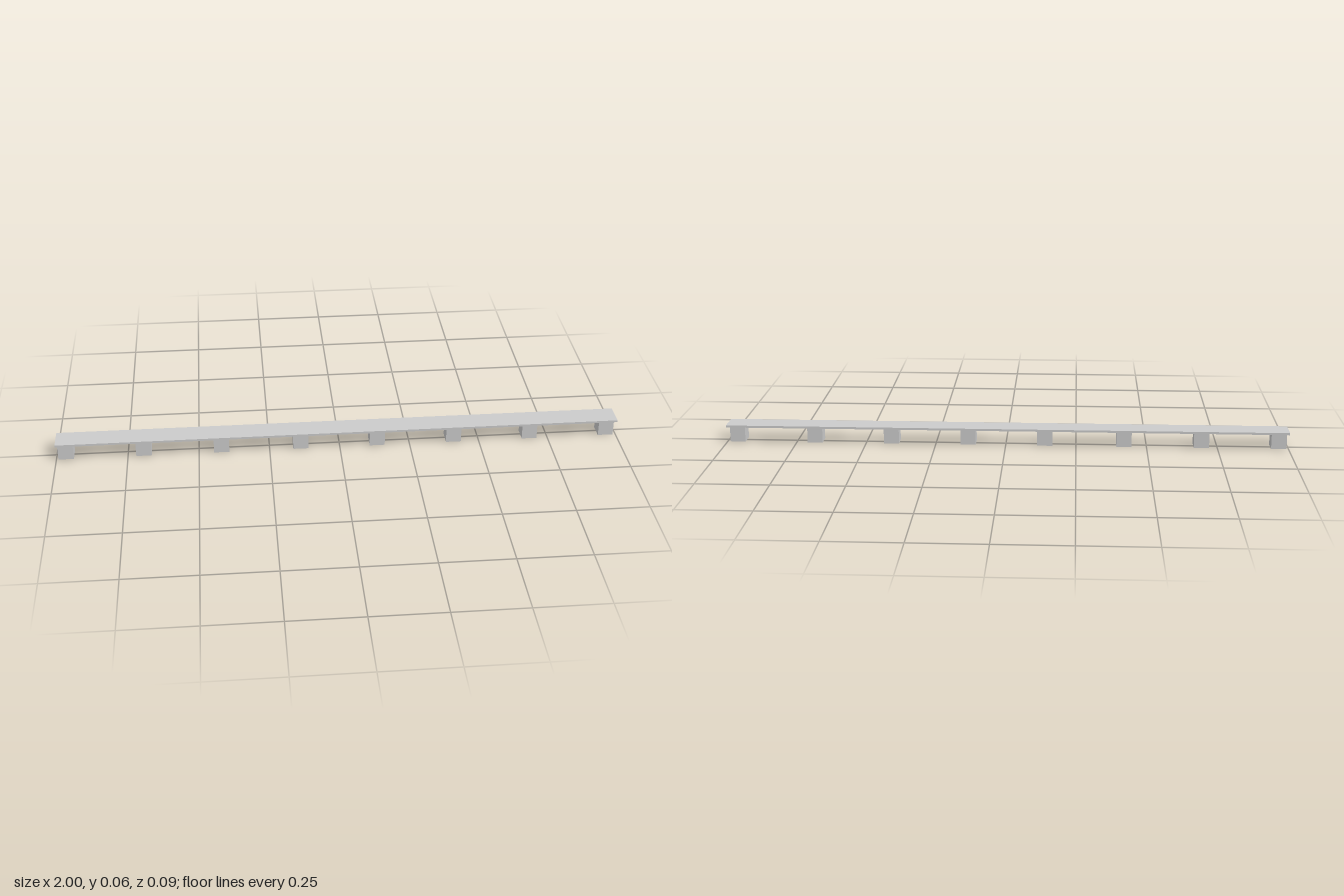
import * as THREE from 'three';

export function createModel() {
  const group = new THREE.Group();
  const material = new THREE.MeshStandardMaterial({ color: 0xcccccc, flatShading: true });

  const blockSize = 0.054, blockHeight = 0.057, top = 0.0645;
  const blockCentres = [-0.966, -0.694, -0.42, -0.139, 0.134, 0.409, 0.684, 0.963];
  const seams = [-1, -0.695, -0.42, -0.147, 0.13, 0.409, 0.684, 1];

  const addBox = (name, x0, x1, y0, y1, z0, z1) => {
    const mesh = new THREE.Mesh(new THREE.BoxGeometry(x1 - x0, y1 - y0, z1 - z0), material);
    mesh.position.set((x0 + x1) / 2, (y0 + y1) / 2, (z0 + z1) / 2);
    mesh.name = name;
    group.add(mesh);
  };

  // Supporting blocks, set slightly towards the front
  blockCentres.forEach((x, i) =>
    addBox(`supportBlock${i + 1}`, x - blockSize / 2, x + blockSize / 2, 0, blockHeight, -0.024, 0.032));

  // Deck planks laid end to end, meeting over the blocks
  for (let i = 0; i < seams.length - 1; i++)
    addBox(`deckPlank${i + 1}`, seams[i], seams[i + 1], blockHeight, top, -0.0425, 0.0425);

  return group;
}
